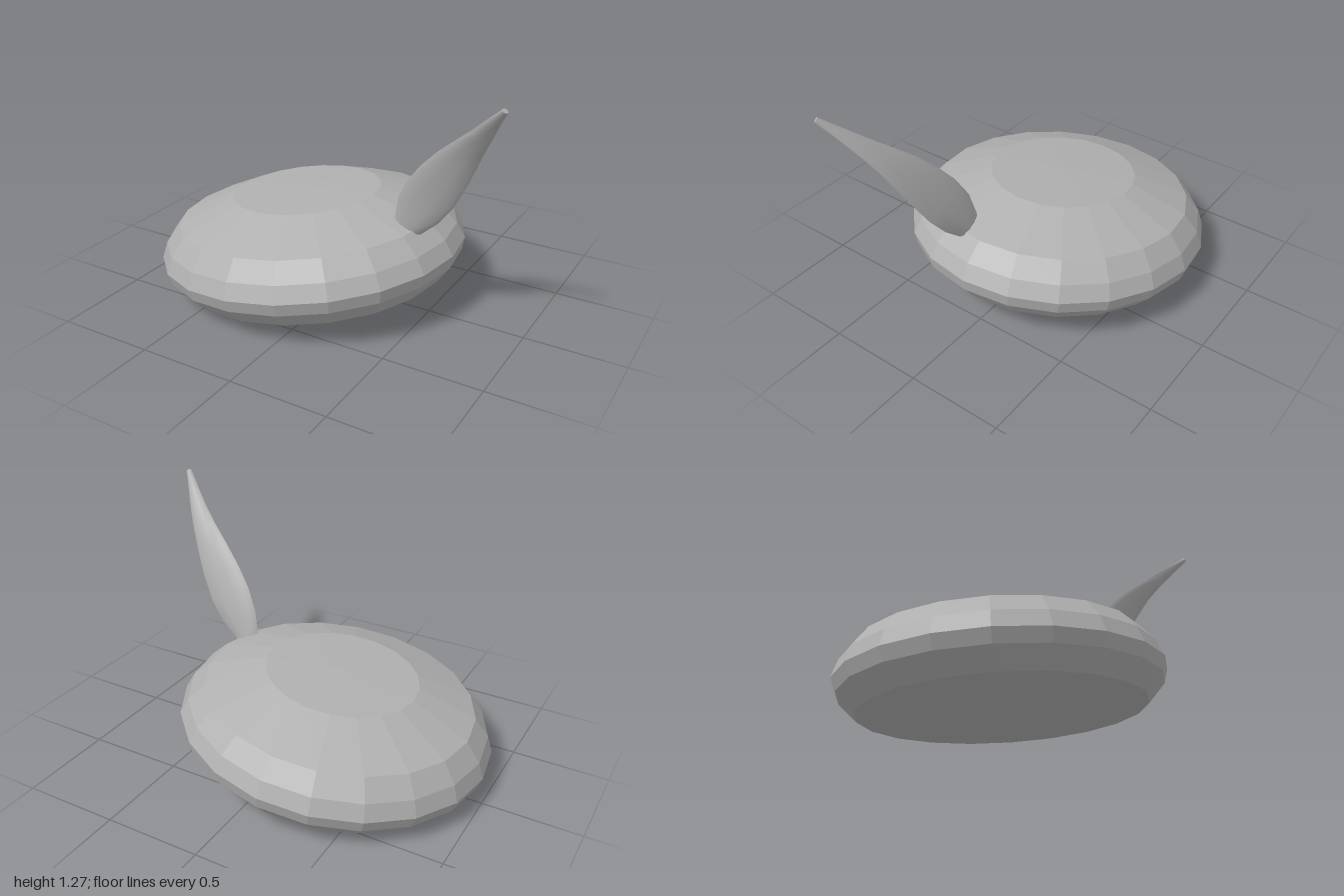
import * as THREE from 'three';
import { toCreasedNormals } from 'three/addons/utils/BufferGeometryUtils.js';

// Closed blade lofted through stations of [left edge x, y, right edge x, y, half thickness]
function featherGeometry(stations, bend) {
  const sides = 10, pos = [], index = [];
  const edge = (x, y) => new THREE.Vector3(x, y, bend(y));
  const left = stations.map((s) => edge(s[0], s[1]));
  const right = stations.map((s) => edge(s[2], s[3]));
  const mid = left.map((l, i) => l.clone().add(right[i]).multiplyScalar(0.5));
  const last = stations.length - 1;
  stations.forEach((s, i) => {
    const half = right[i].clone().sub(left[i]).multiplyScalar(0.5);
    const along = mid[Math.min(i + 1, last)].clone().sub(mid[Math.max(i - 1, 0)]);
    const normal = half.clone().cross(along).normalize();
    for (let j = 0; j < sides; j++) {
      const a = (-j / sides) * Math.PI * 2;
      const p = mid[i].clone().addScaledVector(half, Math.cos(a)).addScaledVector(normal, Math.sin(a) * s[4]);
      pos.push(p.x, p.y, p.z);
    }
  });
  for (let i = 0; i < last; i++) {
    for (let j = 0; j < sides; j++) {
      const k = (j + 1) % sides;
      const a = i * sides + j, b = i * sides + k, c = b + sides, d = a + sides;
      index.push(a, b, c, a, c, d);
    }
  }
  // End caps
  for (let j = 1; j < sides - 1; j++) {
    index.push(0, j + 1, j);
    index.push(last * sides, last * sides + j, last * sides + j + 1);
  }
  const geo = new THREE.BufferGeometry();
  geo.setAttribute('position', new THREE.Float32BufferAttribute(pos, 3));
  geo.setIndex(index);
  return toCreasedNormals(geo, 0.9);
}

export function createModel() {
  const group = new THREE.Group();
  group.name = 'featheredCap';
  const grey = new THREE.MeshStandardMaterial({ color: 0xb0b0b0 });
  grey.name = 'grey';

  // Cap: squat 20-sided puff with a flat underside, tilted sideways
  const profile = [
    [0, 0], [0.705, 0], [0.79, 0.09], [0.81, 0.155], [0.775, 0.237],
    [0.695, 0.327], [0.393, 0.437], [0, 0.45],
  ].map(([r, y]) => new THREE.Vector2(r, y));
  const capGeo = new THREE.LatheGeometry(profile, 20);
  capGeo.scale(1, 1, 0.957);
  const cap = new THREE.Mesh(toCreasedNormals(capGeo, 0.01), grey);
  cap.name = 'cap';
  cap.rotation.z = 0.121;
  cap.position.set(-0.17, 0.093, 0);
  group.add(cap);

  // Feather: curved blade that leans outward and forward
  const bendCurve = [[0.48, 0.112], [0.6, 0.125], [0.7, 0.15], [0.8, 0.18], [0.9, 0.213],
    [1.0, 0.253], [1.1, 0.31], [1.2, 0.38], [1.28, 0.44]];
  const bend = (y) => {
    let i = 0;
    while (i < bendCurve.length - 2 && y > bendCurve[i + 1][0]) i++;
    const [y0, z0] = bendCurve[i], [y1, z1] = bendCurve[i + 1];
    return z0 + ((y - y0) / (y1 - y0)) * (z1 - z0);
  };
  const feather = new THREE.Mesh(featherGeometry([
    [0.355, 0.545, 0.49, 0.48, 0.026],
    [0.38, 0.66, 0.58, 0.56, 0.026],
    [0.44, 0.77, 0.66, 0.66, 0.024],
    [0.52, 0.87, 0.735, 0.79, 0.022],
    [0.62, 0.97, 0.79, 0.9, 0.02],
    [0.715, 1.05, 0.84, 1.0, 0.018],
    [0.81, 1.13, 0.895, 1.095, 0.015],
    [0.9, 1.21, 0.945, 1.18, 0.012],
    [0.975, 1.276, 0.997, 1.262, 0.01],
  ], bend), grey);
  feather.name = 'feather';
  group.add(feather);

  return group;
}
